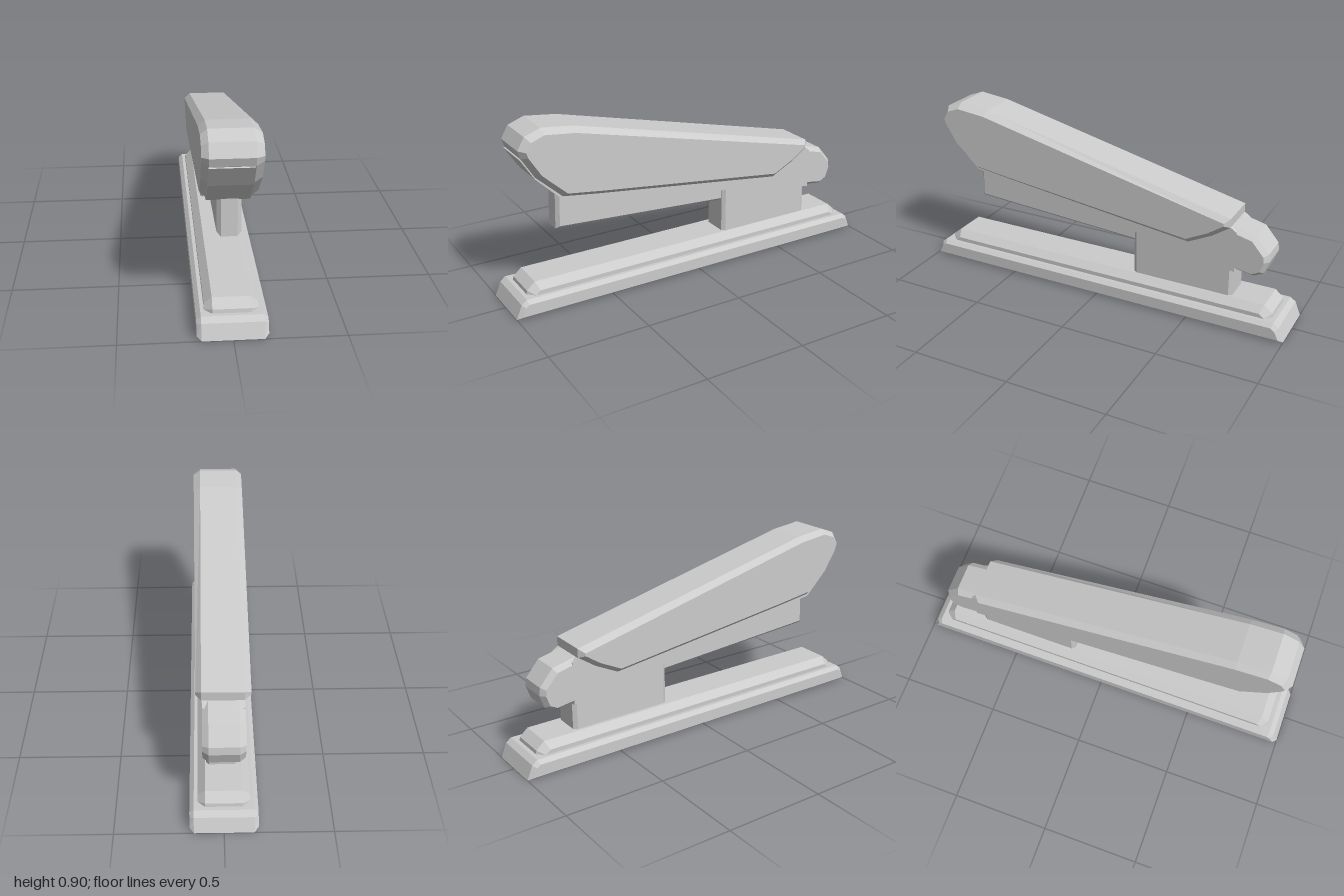
import * as THREE from 'three';

const material = new THREE.MeshStandardMaterial({ color: 0xcccccc, flatShading: true });

// Side profile of [z, y] points, extruded across x from x0 to x1.
// chamfer: width of the edge chamfer along x; inset: how far the side face shrinks.
function slab(name, profile, x0, x1, chamfer = 0, inset = chamfer) {
  const shape = new THREE.Shape(profile.map(([z, y]) => new THREE.Vector2(z, y)));
  const depth = x1 - x0 - 2 * chamfer;
  const geometry = new THREE.ExtrudeGeometry(shape, {
    depth,
    bevelEnabled: chamfer > 0,
    bevelThickness: chamfer,
    bevelSize: inset,
    bevelOffset: -inset,
    bevelSegments: 1,
  });
  geometry.translate(0, 0, -depth / 2);
  geometry.rotateY(-Math.PI / 2);
  geometry.translate((x0 + x1) / 2, 0, 0);
  const mesh = new THREE.Mesh(geometry, material);
  mesh.name = name;
  return mesh;
}

// Completes a front half profile with its mirror image at the back.
const mirrored = (half) => [...half, ...half.map(([z, y]) => [-z, y]).reverse()];

export function createModel() {
  const model = new THREE.Group();
  model.name = 'stapler';

  // Two-tier base plate
  model.add(slab('basePlate', mirrored([[1, 0], [0.972, 0.07], [0.945, 0.09]]), -0.157, 0.157, 0.02, 0.018));
  model.add(slab('baseStep', mirrored([[0.935, 0.03], [0.922, 0.108], [0.88, 0.145]]), -0.12, 0.12, 0.035, 0.034));

  // Hinge post, its top and bottom edges buried in the neighbouring parts
  model.add(slab('hingePost', [
    [-0.18, 0.11], [-0.18, 0.41], [-0.71, 0.33], [-0.71, 0.11],
  ], -0.07, 0.08, 0.014, 0.018));

  // Staple magazine under the arm
  model.add(slab('magazine', [
    [0.735, 0.57], [0.742, 0.368], [-0.24, 0.306], [-0.24, 0.42],
  ], -0.052, 0.058, 0.018, 0.016));

  // Arm body running inside the cover
  model.add(slab('armBody', [
    [0.73, 0.541], [0.85, 0.66], [0.917, 0.765], [0.8, 0.82],
    [-0.69, 0.52], [-0.72, 0.5], [-0.72, 0.29],
  ], -0.1, 0.095));

  // Rounded, chamfered tail of the arm
  model.add(slab('armTail', [
    [-0.55, 0.318], [-0.55, 0.52], [-0.69, 0.52], [-0.81, 0.49],
    [-0.878, 0.41], [-0.883, 0.37], [-0.86, 0.305], [-0.81, 0.28],
  ], -0.1, 0.095, 0.028, 0.02));

  // Top cover
  const cover = slab('cover', [
    [0.925, 0.81], [0.89, 0.87], [0.81, 0.9], [0.65, 0.882],
    [-0.69, 0.566], [-0.69, 0.52], [-0.6, 0.458], [-0.48, 0.398],
    [0.54, 0.525], [0.72, 0.55], [0.85, 0.67], [0.912, 0.77],
  ], -0.128, 0.128, 0.03, 0.025);
  // Its left side flares slightly towards the front
  const position = cover.geometry.attributes.position;
  for (let i = 0; i < position.count; i++) {
    const x = position.getX(i);
    if (x > 0.11) position.setX(i, x - 0.003 + 0.007 * (position.getZ(i) + 0.5));
  }
  cover.geometry.computeVertexNormals();
  model.add(cover);

  return model;
}
